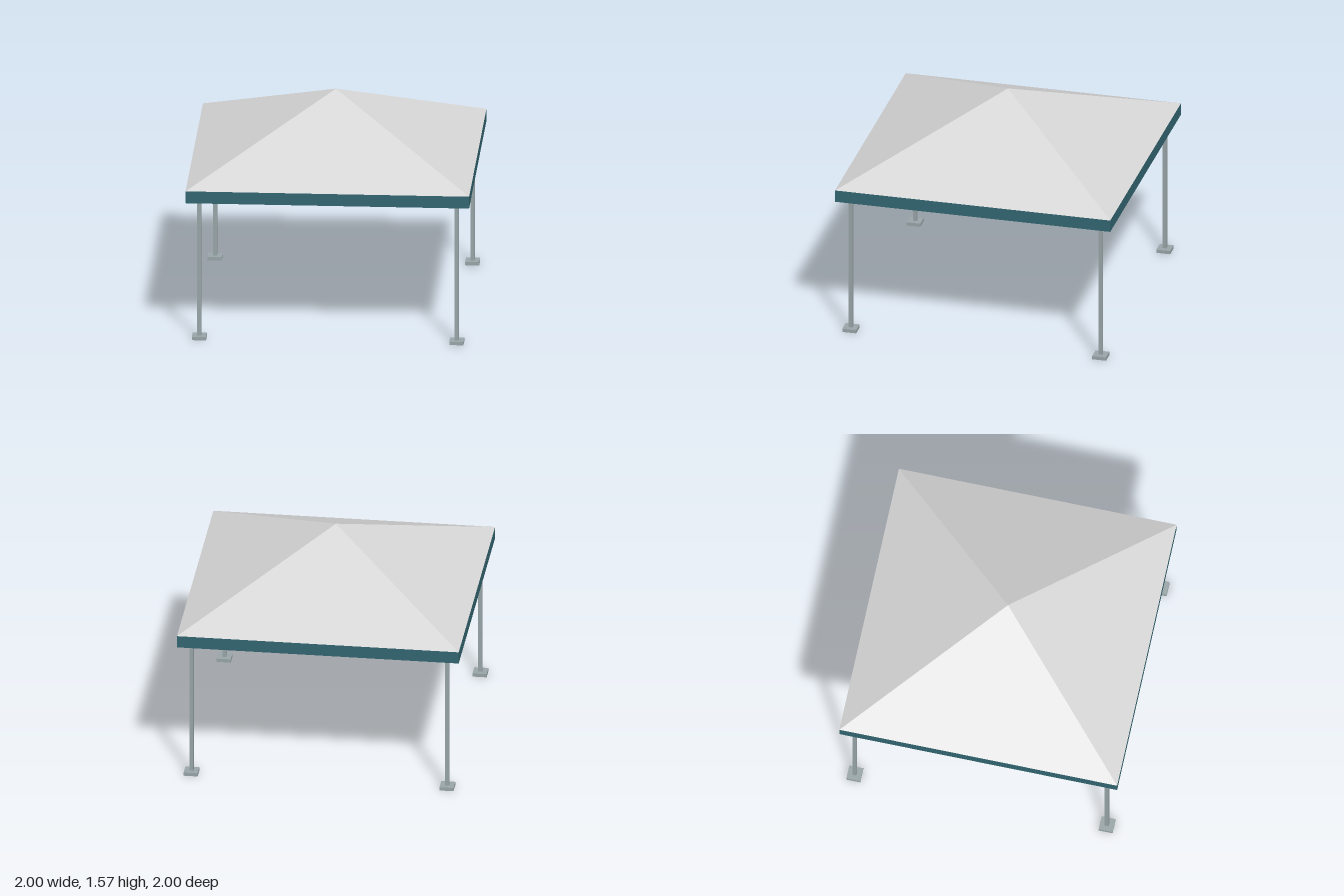
import * as THREE from 'three';

const EAVE = 1.115, FASCIA_BOTTOM = 1.027, PEAK = 1.57, POST_INSET = 0.908;

function square(half, PathType) {
  const p = new PathType();
  p.moveTo(-half, -half);
  p.lineTo(half, -half);
  p.lineTo(half, half);
  p.lineTo(-half, half);
  p.closePath();
  return p;
}

export function createModel() {
  const group = new THREE.Group();
  group.name = 'pavilion';

  const material = (name, color) => {
    const m = new THREE.MeshStandardMaterial({ color });
    m.name = name;
    return m;
  };
  const roofGrey = material('light grey roofing', 0xd6d6d6);
  const teal = material('teal trim', 0x336671);
  const steel = material('grey steel', 0x98a5a8);

  const add = (parent, name, geometry, mat, x = 0, y = 0, z = 0) => {
    const mesh = new THREE.Mesh(geometry, mat);
    mesh.name = name;
    mesh.position.set(x, y, z);
    parent.add(mesh);
    return mesh;
  };

  // Pyramid roof with a flat ceiling and crisp hips
  const roofHeight = PEAK - EAVE;
  const roof = new THREE.ConeGeometry(Math.SQRT2, roofHeight, 4).rotateY(Math.PI / 4).toNonIndexed();
  roof.computeVertexNormals();
  add(group, 'roof', roof, roofGrey, 0, EAVE + roofHeight / 2, 0);

  // Fascia: a thin square frame hanging from the eaves
  const frame = square(1, THREE.Shape);
  frame.holes.push(square(0.975, THREE.Path));
  const fascia = new THREE.ExtrudeGeometry(frame, { depth: EAVE - FASCIA_BOTTOM, bevelEnabled: false });
  fascia.rotateX(-Math.PI / 2);
  add(group, 'fascia', fascia, teal, 0, FASCIA_BOTTOM, 0);

  // Four square posts on base plates, running up to the ceiling
  const plateHeight = 0.025, postHeight = EAVE - plateHeight;
  const plateGeometry = new THREE.BoxGeometry(0.1, plateHeight, 0.1);
  const postGeometry = new THREE.BoxGeometry(0.028, postHeight, 0.028);
  for (const sx of [-1, 1]) {
    for (const sz of [-1, 1]) {
      const leg = new THREE.Group();
      leg.name = `${sz > 0 ? 'front' : 'back'}${sx > 0 ? 'Left' : 'Right'}Leg`;
      leg.position.set(sx * POST_INSET, 0, sz * POST_INSET);
      add(leg, 'basePlate', plateGeometry, steel, 0, plateHeight / 2, 0);
      add(leg, 'post', postGeometry, steel, 0, plateHeight + postHeight / 2, 0);
      group.add(leg);
    }
  }
  return group;
}
